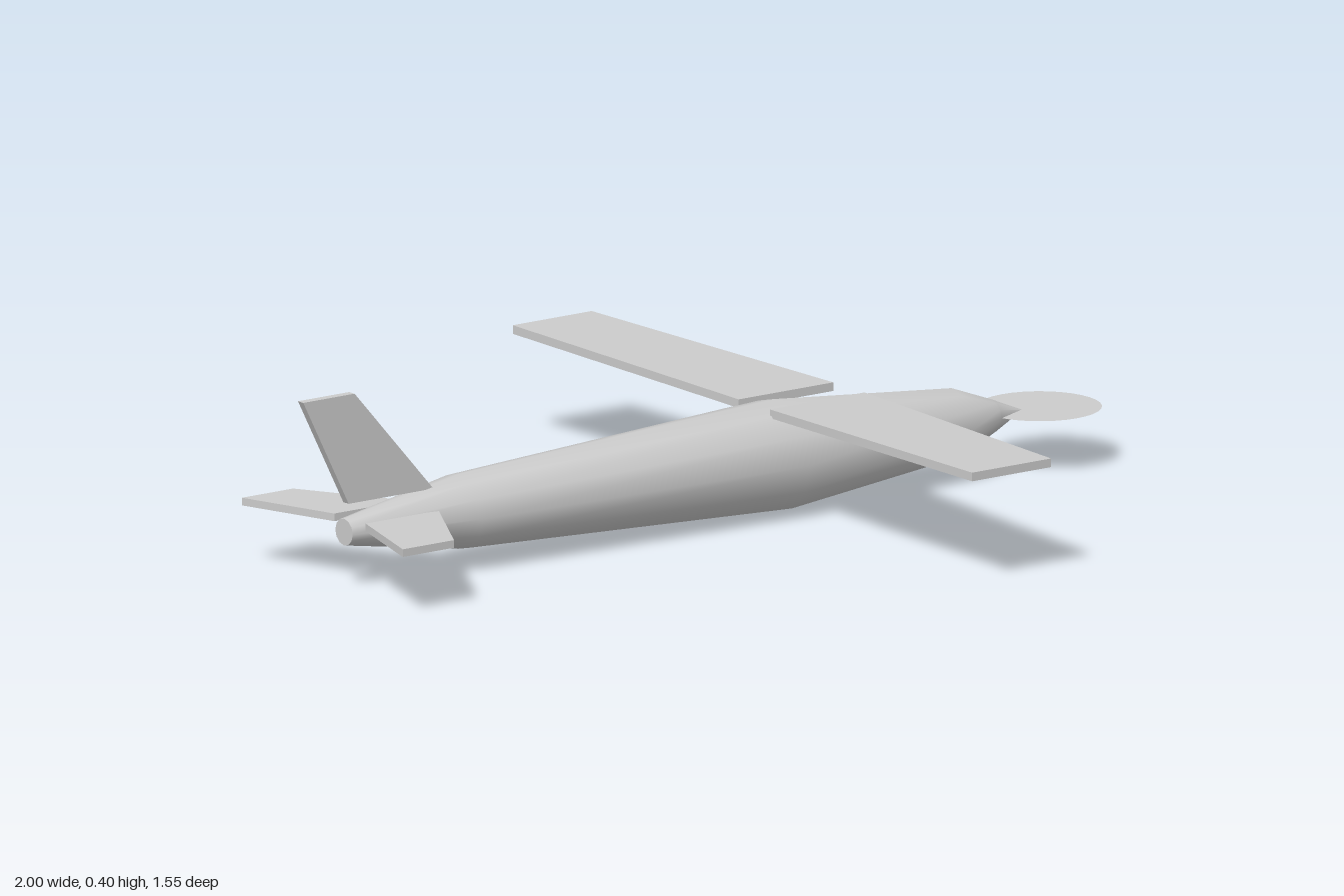
import * as THREE from 'three';

const AXIS_Y = 0.117;

function material(side = THREE.FrontSide) {
  return new THREE.MeshStandardMaterial({ color: 0xcccccc, side });
}

function addMesh(parent, name, geometry, mat = material()) {
  const mesh = new THREE.Mesh(geometry, mat);
  mesh.name = name;
  parent.add(mesh);
  return mesh;
}

// Round body along +x from [x, radius] stations, slightly wider than tall
function bodyOfRevolution(stations) {
  const points = stations.map(([x, r]) => new THREE.Vector2(r, x));
  return new THREE.LatheGeometry(points, 12)
    .rotateZ(-Math.PI / 2)
    .scale(1, 1, 1.05)
    .translate(0, AXIS_Y, 0);
}

// Flat plate of the given thickness, drawn in its own x-y plane and centred in depth
function plate(corners, thickness) {
  const shape = new THREE.Shape(corners.map(([a, b]) => new THREE.Vector2(a, b)));
  return new THREE.ExtrudeGeometry(shape, { depth: thickness, bevelEnabled: false })
    .translate(0, 0, -thickness / 2);
}

// Horizontal plate with corners [x, distance from centreline], rising outward by slope
function liftingPanel(corners, side, thickness, y, slope = 0) {
  const geo = plate(corners.map(([x, d]) => [x, d * side]), thickness).rotateX(Math.PI / 2);
  const pos = geo.attributes.position;
  for (let i = 0; i < pos.count; i++) {
    pos.setY(i, pos.getY(i) + y + slope * Math.abs(pos.getZ(i)));
  }
  geo.computeVertexNormals();
  return geo;
}

export function createModel() {
  const plane = new THREE.Group();
  plane.name = 'airplane';

  // Fuselage with a flat cap at the tail
  addMesh(plane, 'fuselage', bodyOfRevolution([
    [-0.89, 0.028], [-0.6, 0.078], [0.2, 0.116], [0.65, 0.072], [0.75, 0.034],
  ]));
  addMesh(plane, 'tailCap', new THREE.CircleGeometry(0.028, 12)
    .rotateY(-Math.PI / 2).scale(1, 1, 1.05).translate(-0.89, AXIS_Y, 0));

  // Pointed spinner and the thin disc ahead of it
  addMesh(plane, 'noseCone', bodyOfRevolution([[0.75, 0.034], [0.83, 0]]));
  addMesh(plane, 'propellerDisc', new THREE.CircleGeometry(0.127, 32)
    .rotateX(-Math.PI / 2).translate(0.873, AXIS_Y + 0.001, 0), material(THREE.DoubleSide));

  // Wings and horizontal tail, mirrored across the centreline
  const wing = [[0.15, 0.053], [0.39, 0.053], [0.32, 0.777], [0.12, 0.777]];
  const stabilizer = [[-0.875, 0.053], [-0.69, 0.053], [-0.815, 0.272], [-0.945, 0.272]];
  for (const [label, side] of [['Near', 1], ['Far', -1]]) {
    addMesh(plane, 'wing' + label, liftingPanel(wing, side, 0.018, 0.219, 0.022));
    addMesh(plane, 'stabilizer' + label, liftingPanel(stabilizer, side, 0.016, 0.135));
  }

  // Swept vertical fin
  addMesh(plane, 'tailFin', plate(
    [[-0.885, 0.177], [-0.67, 0.177], [-0.87, 0.405], [-1, 0.405]], 0.018));

  return plane;
}
